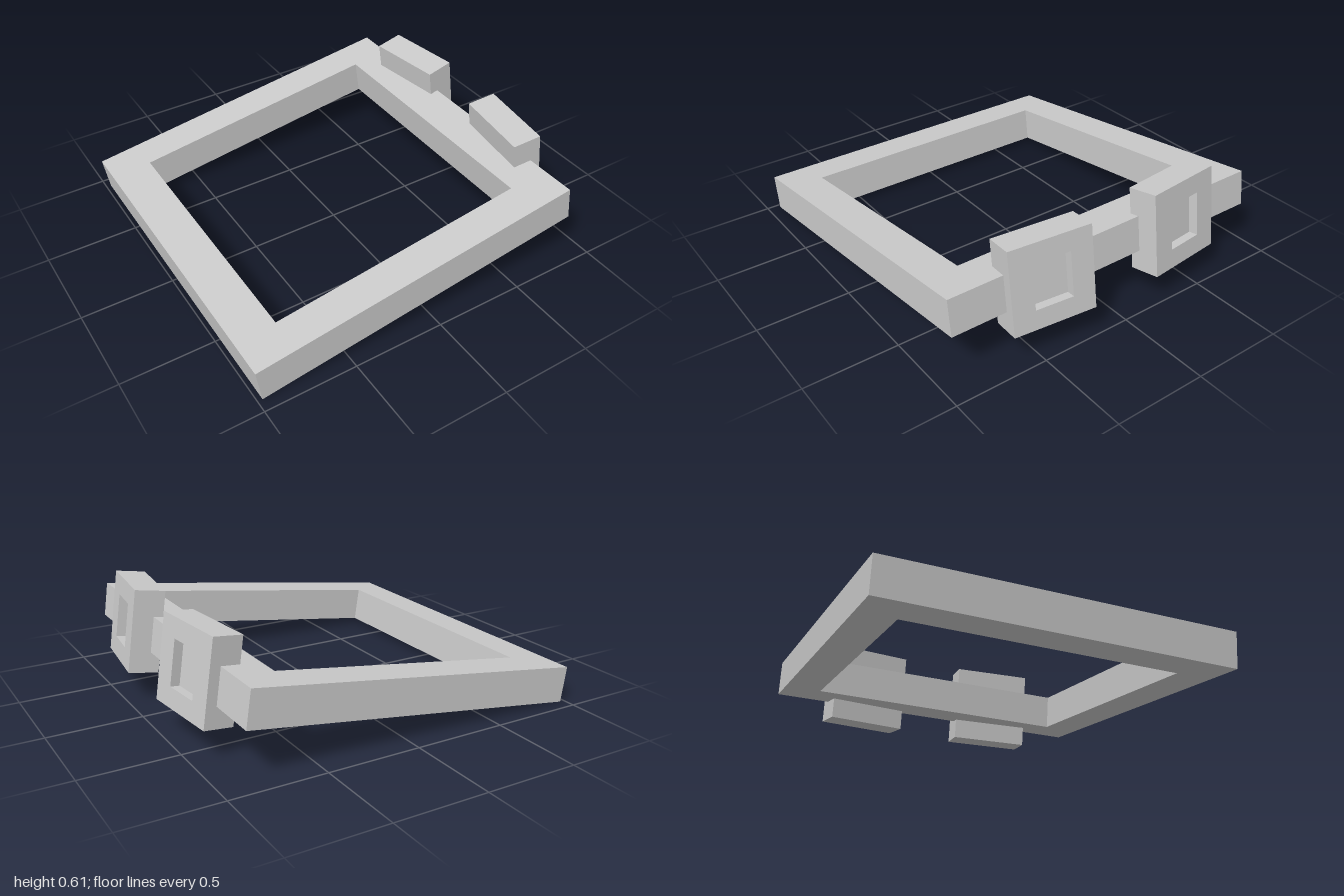
import * as THREE from 'three';

const material = new THREE.MeshStandardMaterial({ color: 0xcccccc, flatShading: true });

// Centred rectangular ring, extruded along +z from z = 0
function ringGeometry(w, h, holeW, holeH, depth) {
  const corners = (a, b) => [[-a, -b], [a, -b], [a, b], [-a, b]].map(([x, y]) => new THREE.Vector2(x / 2, y / 2));
  const shape = new THREE.Shape(corners(w, h));
  shape.holes.push(new THREE.Path(corners(holeW, holeH).reverse()));
  return new THREE.ExtrudeGeometry(shape, { depth, bevelEnabled: false });
}

function part(name, geometry) {
  const mesh = new THREE.Mesh(geometry, material);
  mesh.name = name;
  return mesh;
}

// Block with a shallow rectangular recess in its +x face
function createBlock(name) {
  const size = 0.445, depth = 0.16, recess = 0.05;
  const block = new THREE.Group();
  block.name = name;

  const body = part('blockBody', new THREE.BoxGeometry(depth - recess, size, size));
  body.position.x = -recess / 2;

  const rim = part('blockRim', ringGeometry(size, size, 0.205, 0.238, recess).rotateY(Math.PI / 2));
  rim.position.x = depth / 2 - recess;

  block.add(body, rim);
  return block;
}

export function createModel() {
  const model = new THREE.Group();
  model.name = 'framedBlocks';

  // Everything shares the tilt of the frame
  const tilted = new THREE.Group();
  tilted.name = 'tiltedAssembly';
  tilted.position.set(-0.065, 0.233, 0);
  tilted.rotation.z = 0.1427;
  model.add(tilted);

  // Square open frame lying flat
  const height = 0.192;
  const frame = part('frame', ringGeometry(1.864, 1.866, 1.424, 1.468, height).rotateX(-Math.PI / 2));
  frame.position.y = -height / 2;
  tilted.add(frame);

  // Two blocks on the +x end, each turned slightly outward
  for (const [name, side] of [['frontBlock', 1], ['backBlock', -1]]) {
    const block = createBlock(name);
    block.position.set(0.935, 0.0145, side * 0.41);
    block.rotation.y = -side * 0.119;
    tilted.add(block);
  }
  return model;
}
